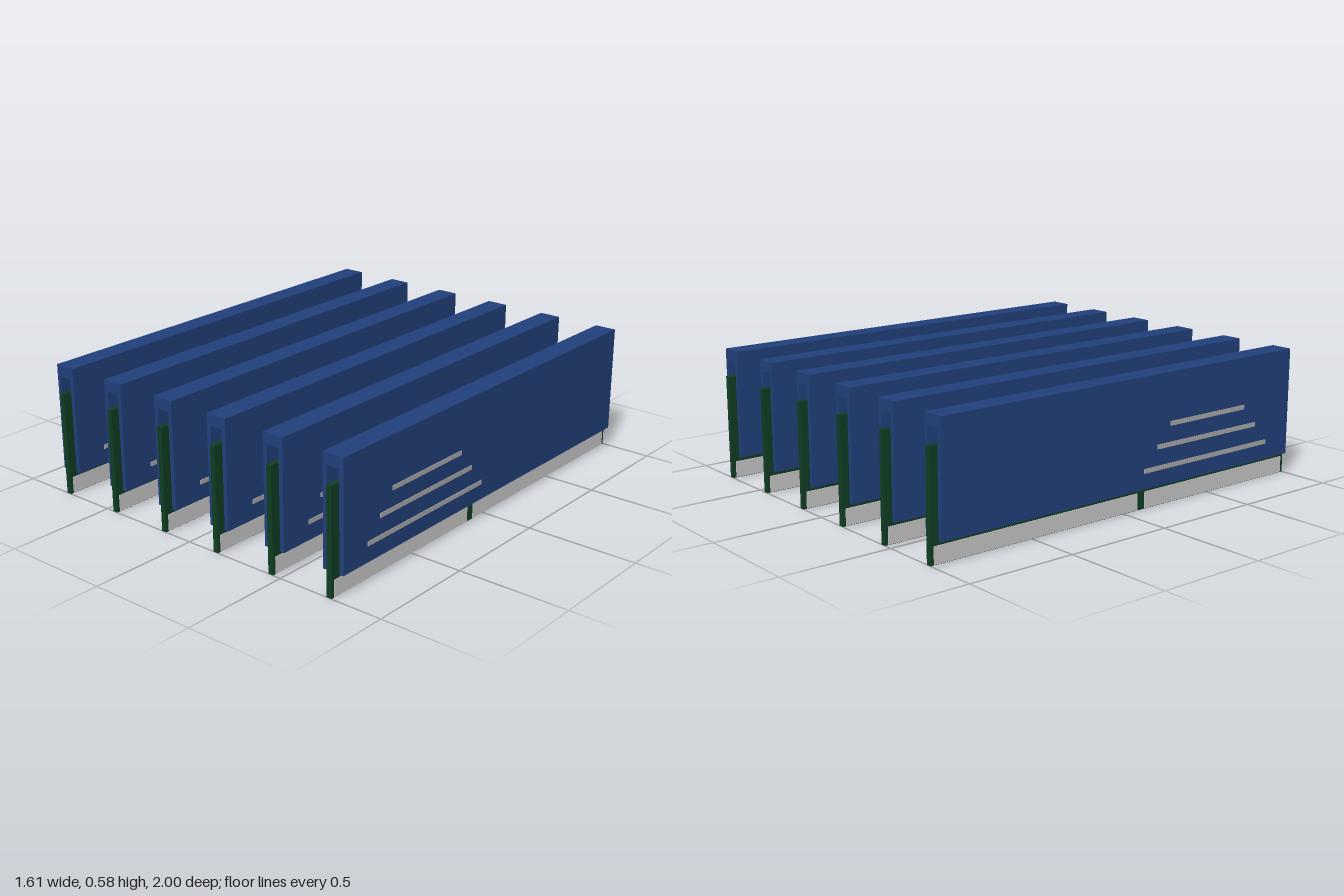
import * as THREE from 'three';

const mat = (name, color) => {
  const m = new THREE.MeshStandardMaterial({ color });
  m.name = name;
  return m;
};

const blue = mat('spreaderBlue', 0x20407a);
const green = mat('boardGreen', 0x0f3d22);
const black = mat('chipBlack', 0x1c1c1c);
const silver = mat('contactSilver', 0xc9c9c9);
const grey = mat('stripeGrey', 0xa9a9a9);

// Box given by its lower and upper corners
function box(parent, name, material, [x0, y0, z0], [x1, y1, z1]) {
  const mesh = new THREE.Mesh(new THREE.BoxGeometry(x1 - x0, y1 - y0, z1 - z0), material);
  mesh.position.set((x0 + x1) / 2, (y0 + y1) / 2, (z0 + z1) / 2);
  mesh.name = name;
  parent.add(mesh);
}

// The same box on both faces of the module
function boxPair(parent, name, material, [x0, y0, z0], [x1, y1, z1]) {
  box(parent, name + 'Left', material, [x0, y0, z0], [x1, y1, z1]);
  box(parent, name + 'Right', material, [-x1, y0, z0], [-x0, y1, z1]);
}

function memoryModule() {
  const g = new THREE.Group();
  g.name = 'memoryModule';

  // Circuit board
  box(g, 'board', green, [-0.012, 0, -1], [0.012, 0.468, 1]);

  // Contact strips, parted at the key position
  for (const [z0, z1] of [[-0.985, 0.077], [0.118, 0.985]])
    boxPair(g, 'contacts', silver, [0.012, 0.002, z0], [0.0145, 0.076, z1]);

  // Two rows of chips on each face
  for (const [y0, y1] of [[0.118, 0.235], [0.285, 0.4]])
    for (let i = 0; i < 8; i++) {
      const z = -0.84 + i * 0.24;
      boxPair(g, 'chip', black, [0.012, y0, z - 0.09], [0.024, y1, z + 0.09]);
    }

  // Heat spreader: two side plates under a cap
  boxPair(g, 'spreaderPlate', blue, [0.03, 0.1, -0.975], [0.05, 0.535, 0.975]);
  box(g, 'spreaderCap', blue, [-0.05, 0.535, -0.975], [0.05, 0.585, 0.975]);

  // Stripes, longer towards the bottom
  for (const [y, half] of [[0.18, 0.377], [0.272, 0.302], [0.362, 0.227]])
    boxPair(g, 'stripe', grey, [0.05, y - 0.01, 0.453 - half], [0.053, y + 0.01, 0.453 + half]);

  return g;
}

export function createModel() {
  const model = new THREE.Group();
  model.name = 'memoryModules';
  for (let i = 0; i < 6; i++) {
    const stick = memoryModule();
    stick.position.x = -0.75 + i * 0.3;
    model.add(stick);
  }
  return model;
}
